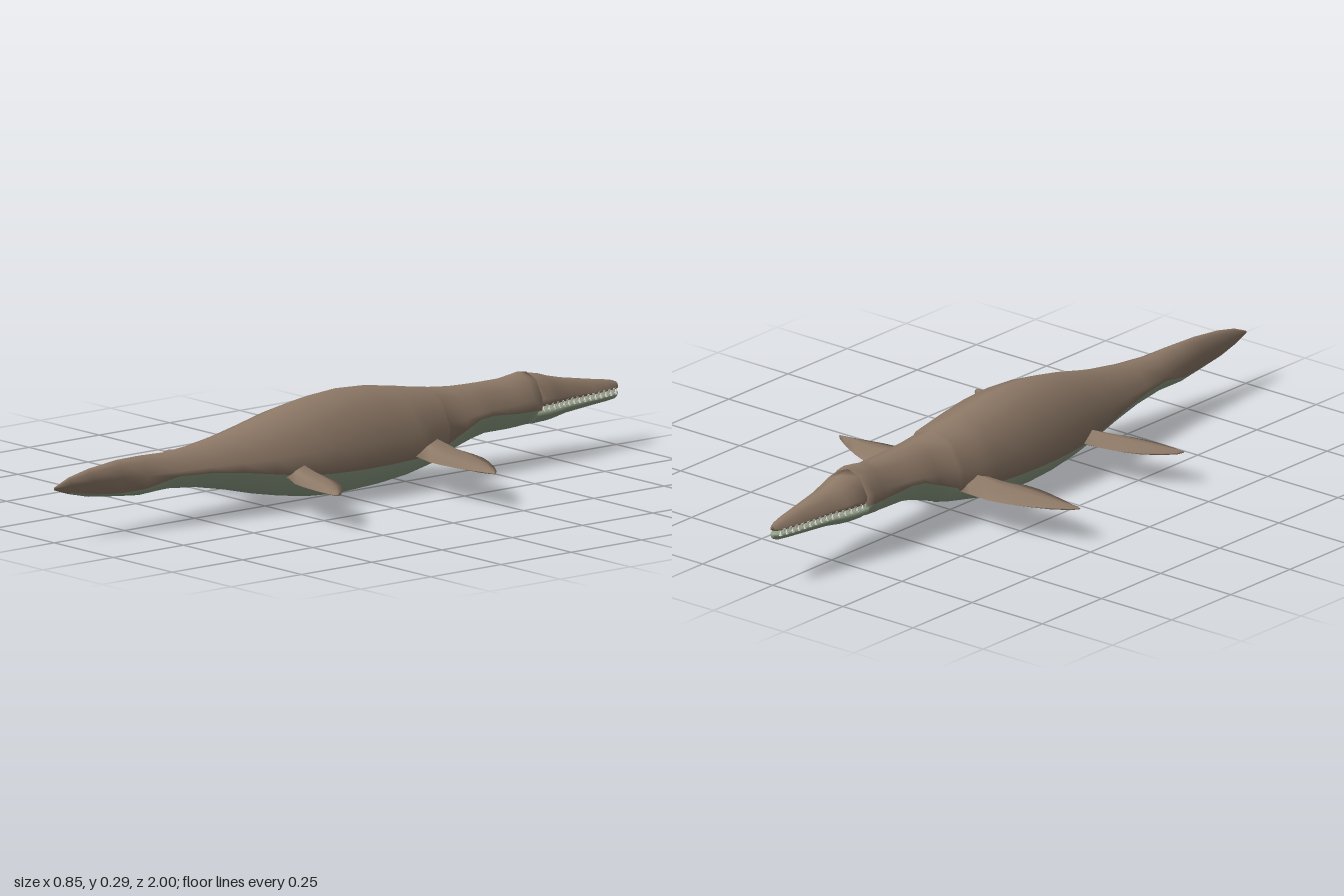
import * as THREE from 'three';
import { mergeGeometries } from 'three/addons/utils/BufferGeometryUtils.js';

const mat = (name, color) => Object.assign(new THREE.MeshStandardMaterial({ color }), { name });

// Skin through closed rings of points; pick(ring, side) gives the material index.
function loft(rings, pick = () => 0) {
  const n = rings[0].length, last = (rings.length - 1) * n;
  const faces = [[], []];
  for (let r = 0; r < rings.length - 1; r++) {
    for (let i = 0; i < n; i++) {
      const j = (i + 1) % n, a = r * n, b = a + n;
      faces[pick(r, i)].push(a + i, b + i, a + j, a + j, b + i, b + j);
    }
  }
  for (let i = 1; i < n - 1; i++) {
    faces[pick(0, i)].push(0, i, i + 1);
    faces[pick(rings.length - 2, i)].push(last, last + i + 1, last + i);
  }
  const geo = new THREE.BufferGeometry();
  geo.setAttribute('position', new THREE.Float32BufferAttribute(rings.flat(2), 3));
  geo.setIndex([...faces[0], ...faces[1]]);
  geo.addGroup(0, faces[0].length, 0);
  geo.addGroup(faces[0].length, faces[1].length, 1);
  geo.computeVertexNormals();
  return geo;
}

// Half outline running from top to bottom, mirrored into a full ring
const mirrorRing = (half, z) => [
  ...half.map(([x, y]) => [x, y, z]),
  ...half.slice(1, -1).reverse().map(([x, y]) => [-x, y, z]),
];

// Stations along the animal: z, half width, top, bottom, height of the belly line
const TRUNK = [
  [-0.68, 0.069, 0.25, 0.105, 0.155], [-0.65, 0.07, 0.255, 0.102, 0.155],
  [-0.615, 0.07, 0.25, 0.1, 0.155], [-0.59, 0.067, 0.245, 0.1, 0.155],
  [-0.5, 0.075, 0.245, 0.1, 0.164], [-0.45, 0.08, 0.246, 0.09, 0.16],
  [-0.4, 0.085, 0.248, 0.075, 0.14], [-0.325, 0.095, 0.256, 0.05, 0.11],
  [-0.318, 0.11, 0.258, 0.045, 0.1], [-0.25, 0.12, 0.268, 0.031, 0.096],
  [-0.2, 0.125, 0.277, 0.02, 0.094], [-0.1, 0.131, 0.292, 0.008, 0.092],
  [0, 0.132, 0.297, 0.003, 0.092], [0.1, 0.13, 0.29, 0.01, 0.094],
  [0.2, 0.121, 0.272, 0.025, 0.1], [0.3, 0.104, 0.248, 0.045, 0.115],
  [0.4, 0.086, 0.226, 0.07, 0.13], [0.5, 0.07, 0.21, 0.09, 0.14],
  [0.6, 0.056, 0.202, 0.1, 0.143], [0.7, 0.043, 0.205, 0.095, 0.118],
  [0.78, 0.032, 0.204, 0.103, 0.112], [0.88, 0.021, 0.193, 0.115, 0.122],
  [0.95, 0.012, 0.178, 0.132, 0.137], [1, 0.002, 0.157, 0.149, 0.151],
];
const SNOUT = [
  [-1, 0.008, 0.178, 0.139], [-0.985, 0.018, 0.185, 0.132], [-0.95, 0.026, 0.192, 0.129],
  [-0.9, 0.034, 0.2, 0.126], [-0.8, 0.046, 0.218, 0.118], [-0.75, 0.059, 0.23, 0.11],
  [-0.72, 0.065, 0.24, 0.107], [-0.67, 0.068, 0.25, 0.105],
];

function trunkRing([z, w, top, bottom, line]) {
  const c = (top + bottom) / 2, h = (top - bottom) / 2;
  const s = THREE.MathUtils.clamp((line - c) / h, -0.8, 0.05);
  const sideX = s > -0.38 ? 1 : 1 - 0.5 * (-0.38 - s) / 0.47;
  return mirrorRing([[0, 1], [0.6, 0.78], [1, 0.1], [sideX, s], [0.5, -0.85], [0, -1]]
    .map(([x, y]) => [x * w, c + y * h]), z);
}

function upperJawRing([z, w, top, bottom]) {
  const c = (top + bottom) / 2, h = (top - bottom) / 2;
  return mirrorRing([[0, top], [0.6 * w, c + 0.78 * h], [w, Math.max(c + 0.1 * h, 0.168)],
    [0.95 * w, 0.163], [0, 0.163]], z);
}

function lowerJawRing([z, w, top, bottom]) {
  return mirrorRing([[0, 0.152], [0.97 * w, 0.152], [0.93 * w, 0.152 - (0.152 - bottom) * 0.35],
    [0.5 * w, 0.152 - (0.152 - bottom) * 0.85], [0, bottom]], z);
}

// Flipper stations: x, leading z, trailing z, top y
const FRONT = [
  [0.08, -0.32, -0.19, 0.142], [0.13, -0.323, -0.185, 0.135], [0.2, -0.325, -0.168, 0.125],
  [0.25, -0.315, -0.168, 0.121], [0.3, -0.295, -0.176, 0.117], [0.36, -0.263, -0.19, 0.113],
  [0.41, -0.23, -0.202, 0.107], [0.427, -0.213, -0.206, 0.103],
];
const REAR = [
  [0.07, 0.17, 0.25, 0.135], [0.12, 0.172, 0.265, 0.13], [0.18, 0.176, 0.295, 0.124],
  [0.23, 0.189, 0.305, 0.12], [0.28, 0.212, 0.309, 0.116], [0.33, 0.25, 0.308, 0.111],
  [0.36, 0.28, 0.306, 0.107], [0.368, 0.293, 0.304, 0.103],
];

function flipper(stations, side) {
  const rings = stations.map(([x, lead, trail, top]) => {
    const at = (t, y) => [x * side, y, THREE.MathUtils.lerp(lead, trail, t)];
    const low = 0.1 - Math.min(0.009, (top - 0.1) * 0.6);
    return [at(1, 0.1), at(0.7, THREE.MathUtils.lerp(0.1, top, 0.6)), at(0.4, top),
      at(0, 0.101), at(0.2, low), at(0.75, low)];
  });
  if (side < 0) rings.reverse();
  return loft(rings, (r, i) => (i === 4 ? 1 : 0));
}

export function createModel() {
  const back = mat('brownBack', 0x8f7a68);
  const belly = mat('paleGreenBelly', 0x95a58c);
  const ivory = mat('ivoryTeeth', 0xf0ece0);
  const group = new THREE.Group();
  group.name = 'marineReptile';
  const add = (name, geo, material) => {
    const mesh = new THREE.Mesh(geo, material);
    mesh.name = name;
    group.add(mesh);
  };

  // Neck, trunk and tail, pale under the belly line
  add('body', loft(TRUNK.map(trunkRing),
    (r, i) => (i >= 3 && i <= 6 && TRUNK[r][0] < 0.9 ? 1 : 0)), [back, belly]);

  // Long jaws with a narrow gap
  add('upperJaw', loft(SNOUT.map(upperJawRing)), back);
  add('lowerJaw', loft(SNOUT.map(lowerJawRing)), belly);

  // Interlocking teeth along both sides
  const teeth = [];
  for (let k = 0; k < 30; k++) {
    const z = -0.985 + k * 0.0105;
    const i = Math.max(1, SNOUT.findIndex((s) => s[0] > z));
    const [a, b] = [SNOUT[i - 1], SNOUT[i]];
    const w = THREE.MathUtils.mapLinear(z, a[0], b[0], a[1], b[1]);
    for (const side of [-1, 1]) {
      const tooth = new THREE.ConeGeometry(0.006, 0.016, 5);
      if (k % 2) tooth.rotateX(Math.PI);
      teeth.push(tooth.translate(side * w * 0.91, k % 2 ? 0.159 : 0.156, z));
    }
  }
  add('teeth', mergeGeometries(teeth), ivory);

  // Two pairs of paddles
  for (const [side, label] of [[1, 'left'], [-1, 'right']]) {
    add(label + 'FrontFlipper', flipper(FRONT, side), [back, belly]);
    add(label + 'RearFlipper', flipper(REAR, side), [back, belly]);
  }
  return group;
}
